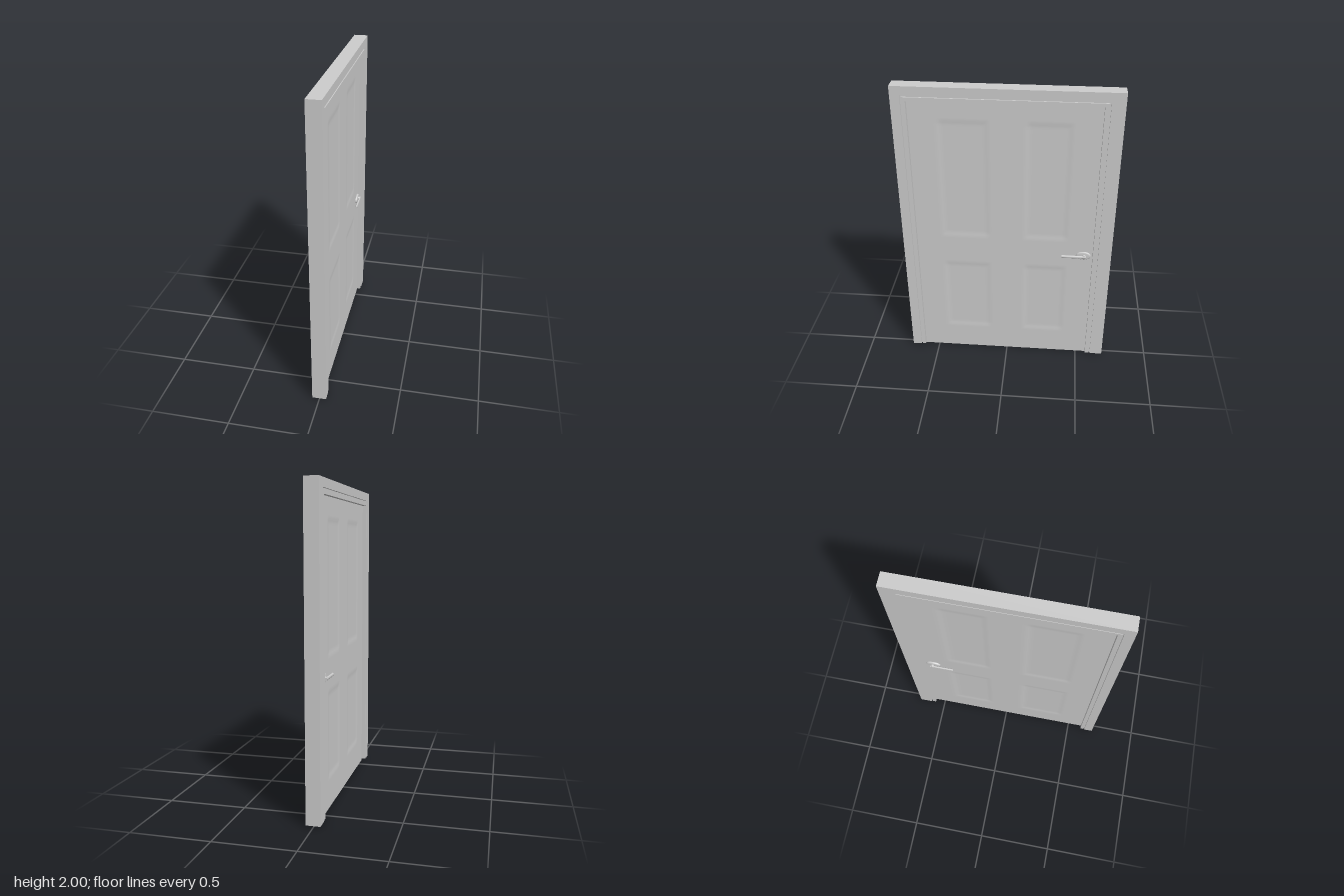
import * as THREE from 'three';

const material = new THREE.MeshStandardMaterial({ color: 0xcccccc, side: THREE.DoubleSide });

function addMesh(parent, geometry, name) {
  const mesh = new THREE.Mesh(geometry, material);
  mesh.name = name;
  parent.add(mesh);
  return mesh;
}

// U-shaped surround drawn in the z-y plane and extruded along x
function surround(outer, inner, thickness) {
  const s = new THREE.Shape();
  const base = 0.01;
  s.moveTo(-outer.zMax, base);
  s.lineTo(-inner.zMax, base);
  s.lineTo(-inner.zMax, inner.top);
  s.lineTo(-inner.zMin, inner.top);
  s.lineTo(-inner.zMin, base);
  s.lineTo(-outer.zMin, base);
  s.lineTo(-outer.zMin, outer.top);
  s.lineTo(-outer.zMax, outer.top);
  s.closePath();
  const g = new THREE.ExtrudeGeometry(s, { depth: thickness, bevelEnabled: false });
  g.translate(0, 0, -thickness / 2);
  g.rotateY(Math.PI / 2);
  return g;
}

// Door leaf with four shallow sunken panels on both faces
function leafGeometry() {
  const zMin = -0.62, zMax = 0.6, height = 1.92, half = 0.016;
  const g = new THREE.BoxGeometry(half * 2, height, zMax - zMin, 1, 128, 80);
  g.translate(0, height / 2, (zMin + zMax) / 2);
  const panels = [];
  for (const [z0, z1] of [[0.11, 0.43], [-0.4, -0.11]]) {
    for (const [y0, y1] of [[0.19, 0.75], [0.96, 1.79]]) panels.push([z0, z1, y0, y1]);
  }
  const p = g.attributes.position;
  for (let i = 0; i < p.count; i++) {
    const x = p.getX(i), y = p.getY(i), z = p.getZ(i);
    let inset = 0;
    for (const [z0, z1, y0, y1] of panels) {
      const edge = Math.min(z - z0, z1 - z, y - y0, y1 - y);
      inset = Math.max(inset, 0.003 * THREE.MathUtils.smoothstep(edge, 0, 0.03));
    }
    p.setX(i, x - Math.sign(x) * inset);
  }
  g.computeVertexNormals();
  return g;
}

// Lever handle pointing toward +z, standing out along +x
function leverHandle(name) {
  const handle = new THREE.Group();
  handle.name = name;

  const profile = [[0, 0.012], [0.024, 0.011], [0.029, 0.008], [0.03, 0]]
    .map(([r, h]) => new THREE.Vector2(r, h)).reverse();
  const roseGeo = new THREE.LatheGeometry(profile, 32);
  roseGeo.rotateZ(-Math.PI / 2);
  roseGeo.scale(1, 1, 1.65);
  addMesh(handle, roseGeo, 'rose').position.set(0.016, 0.85, -0.508);

  const neckGeo = new THREE.CylinderGeometry(0.011, 0.013, 0.018, 20);
  neckGeo.rotateZ(-Math.PI / 2);
  addMesh(handle, neckGeo, 'neck').position.set(0.032, 0.85, -0.512);

  const gripGeo = new THREE.CylinderGeometry(0.01, 0.01, 0.16, 16);
  gripGeo.rotateX(Math.PI / 2);
  gripGeo.scale(0.7, 1, 1);
  addMesh(handle, gripGeo, 'lever').position.set(0.037, 0.849, -0.445);
  return handle;
}

export function createModel() {
  const door = new THREE.Group();
  door.name = 'door';

  // Frame: casing, narrow groove, then the inner stop
  const outside = { zMin: -0.69, zMax: 0.69, top: 2 };
  const casing = { zMin: -0.605, zMax: 0.63, top: 1.945 };
  const groove = { zMin: -0.597, zMax: 0.623, top: 1.932 };
  const opening = { zMin: -0.57, zMax: 0.6, top: 1.91 };
  const frame = new THREE.Group();
  frame.name = 'frame';
  addMesh(frame, surround(outside, casing, 0.09), 'casing');
  addMesh(frame, surround(casing, groove, 0.066), 'groove');
  addMesh(frame, surround(groove, opening, 0.084), 'stop');
  door.add(frame);

  addMesh(door, leafGeometry(), 'leaf');

  // One handle on each face
  const right = leverHandle('handleLeft');
  const left = leverHandle('handleRight');
  left.scale.x = -1;
  door.add(right, left);
  return door;
}
